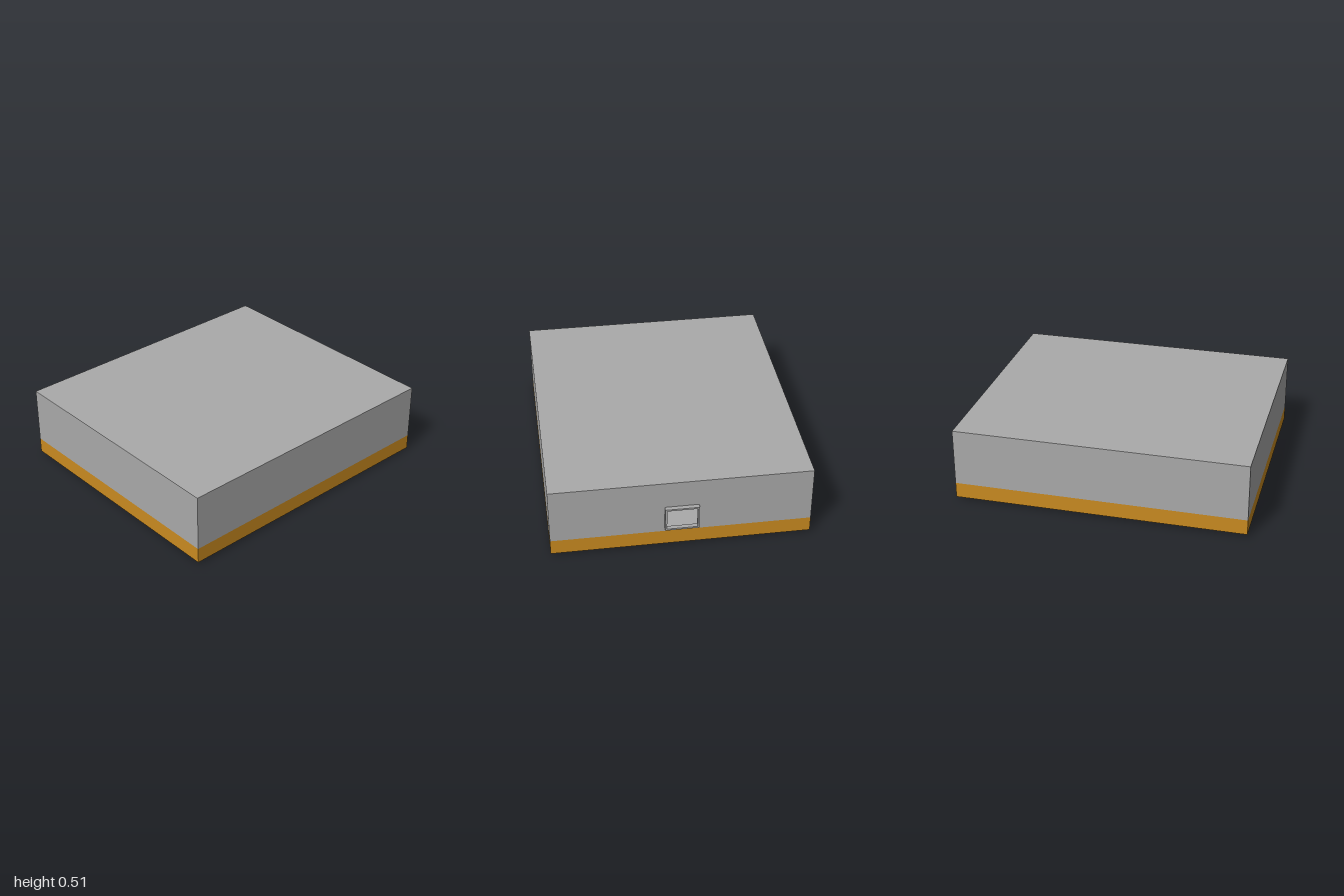
import * as THREE from 'three';

const W = 1.71, L = 1.97, Y0 = 0.015, YB = 0.12, Y1 = 0.507, ZB = -0.97, ZF = 1;
const ZC = (ZB + ZF) / 2;

const rect = (Type, x0, y0, x1, y1) => {
  const s = new Type();
  s.moveTo(x0, y0).lineTo(x1, y0).lineTo(x1, y1).lineTo(x0, y1).closePath();
  return s;
};
const circle = (Type, y, r) => {
  const s = new Type();
  s.absarc(0, y, r, 0, Math.PI * 2);
  return s;
};

export function createModel() {
  const model = new THREE.Group();
  const grey = new THREE.MeshStandardMaterial({ name: 'sheetGrey', color: 0xaaaaaa, side: THREE.DoubleSide });
  const orange = new THREE.MeshStandardMaterial({ name: 'bandOrange', color: 0xca8b20, side: THREE.DoubleSide });

  const add = (name, geometry, material, position, rotation = [0, 0, 0]) => {
    const mesh = new THREE.Mesh(geometry, material);
    mesh.name = name;
    mesh.position.set(...position);
    mesh.rotation.set(...rotation);
    model.add(mesh);
  };

  // Four thin side walls of the hollow box, each grey above an orange band
  const walls = [
    ['front', W, [0, 0, ZF], 0],
    ['left', L, [W / 2, 0, ZC], Math.PI / 2],
    ['back', W, [0, 0, ZB], Math.PI],
    ['right', L, [-W / 2, 0, ZC], -Math.PI / 2],
  ];
  for (const [name, width, position, turn] of walls) {
    const upper = rect(THREE.Shape, -width / 2, YB, width / 2, Y1);
    // Opening behind the rectangular collar
    if (name === 'back') upper.holes.push(rect(THREE.Path, -0.1, 0.158, 0.1, 0.304));
    add(name + 'Wall', new THREE.ShapeGeometry(upper), grey, position, [0, turn, 0]);
    const band = rect(THREE.Shape, -width / 2, Y0, width / 2, YB);
    add(name + 'Band', new THREE.ShapeGeometry(band), orange, position, [0, turn, 0]);
  }

  // Top panel
  add('topPanel', new THREE.PlaneGeometry(W, L), grey, [0, Y1, ZC], [-Math.PI / 2, 0, 0]);

  // Bottom panel with a round opening; shape y becomes z
  const bottom = rect(THREE.Shape, -W / 2, ZB, W / 2, ZF);
  bottom.holes.push(circle(THREE.Path, -0.42, 0.065));
  add('bottomPanel', new THREE.ShapeGeometry(bottom, 24), grey, [0, Y0, 0], [Math.PI / 2, 0, 0]);

  // Rectangular collar on the back
  const frame = rect(THREE.Shape, -0.112, 0.146, 0.112, 0.316);
  frame.holes.push(rect(THREE.Path, -0.1, 0.158, 0.1, 0.304));
  add('backCollar', new THREE.ExtrudeGeometry(frame, { depth: 0.03, bevelEnabled: false }), grey, [0, 0, -1]);

  // Round collar underneath
  const ring = circle(THREE.Shape, -0.42, 0.08);
  ring.holes.push(circle(THREE.Path, -0.42, 0.065));
  add('bottomCollar', new THREE.ExtrudeGeometry(ring, { depth: Y0, bevelEnabled: false, curveSegments: 24 }),
    grey, [0, Y0, 0], [Math.PI / 2, 0, 0]);

  return model;
}
